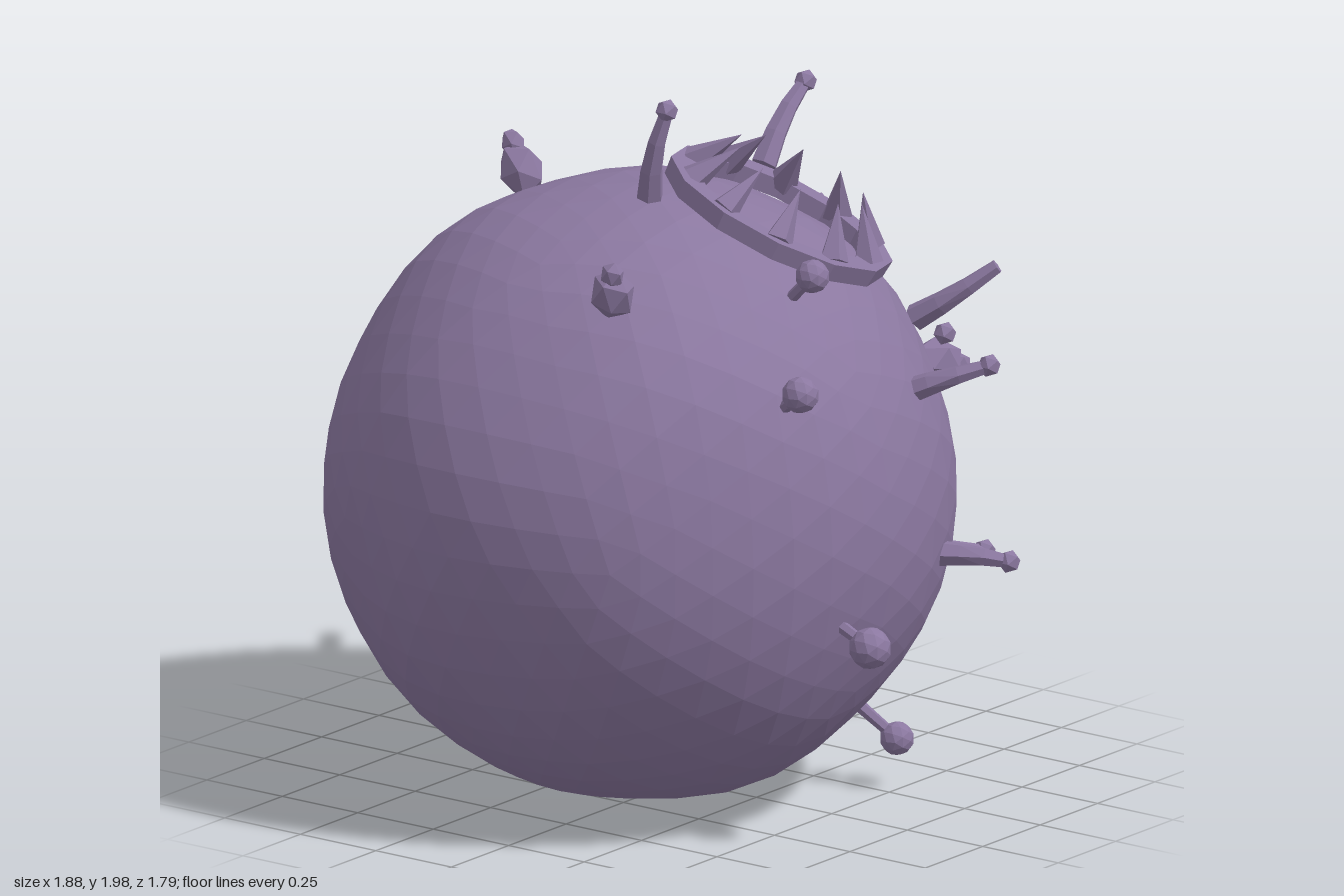
import * as THREE from 'three';

const material = new THREE.MeshStandardMaterial({ color: 0x8b78a0, flatShading: true });
const UP = new THREE.Vector3(0, 1, 0);
const CENTRE = new THREE.Vector3(-0.103, 0.845, -0.055);
const vec = (a) => new THREE.Vector3(...a);

function part(name, geometry, parent) {
  const mesh = new THREE.Mesh(geometry, material);
  mesh.name = name;
  parent.add(mesh);
  return mesh;
}

// Lumpy ball: an icosphere pushed in and out by a soft wave
function bodyGeometry() {
  const g = new THREE.IcosahedronGeometry(1, 7);
  const pos = g.attributes.position;
  const v = new THREE.Vector3();
  for (let i = 0; i < pos.count; i++) {
    v.fromBufferAttribute(pos, i).normalize();
    const lump = Math.sin(5 * v.x + 2 * v.y + 1) * Math.sin(4 * v.y - 3 * v.z) * Math.cos(5 * v.z + v.x);
    v.multiplyScalar(0.837 + 0.014 * lump);
    pos.setXYZ(i, v.x, v.y, v.z);
  }
  g.computeVertexNormals();
  return g;
}

// Tapered stalk: a cylinder bent along a curve through three points
function bentStalk(points, baseRadius, tipRadius) {
  const curve = new THREE.CatmullRomCurve3(points);
  const g = new THREE.CylinderGeometry(tipRadius, baseRadius, 1, 6, 3);
  const pos = g.attributes.position;
  const v = new THREE.Vector3();
  const q = new THREE.Quaternion();
  for (let i = 0; i < pos.count; i++) {
    const t = THREE.MathUtils.clamp(pos.getY(i) + 0.5, 0, 1);
    q.setFromUnitVectors(UP, curve.getTangent(t));
    v.set(pos.getX(i), 0, pos.getZ(i)).applyQuaternion(q).add(curve.getPoint(t));
    pos.setXYZ(i, v.x, v.y, v.z);
  }
  g.computeVertexNormals();
  return g;
}

// Mouth: a flat ring with ten teeth leaning inwards
function mouth() {
  const group = new THREE.Group();
  group.name = 'mouth';
  const profile = [[0.25, 0.8], [0.32, 0.8], [0.325, 0.85], [0.25, 0.85], [0.25, 0.8]]
    .map(([r, y]) => new THREE.Vector2(r, y));
  part('mouthRing', new THREE.LatheGeometry(profile, 12), group);
  const count = 10;
  for (let i = 0; i < count; i++) {
    const a = ((i + 0.5) / count) * Math.PI * 2;
    const out = new THREE.Vector3(Math.sin(a), 0, Math.cos(a));
    const lean = out.clone().multiplyScalar(-0.085).setY(0.13);
    const tooth = part('tooth', new THREE.ConeGeometry(0.042, lean.length(), 5).translate(0, lean.length() / 2, 0), group);
    tooth.position.copy(out).multiplyScalar(0.272).setY(0.84);
    tooth.quaternion.setFromUnitVectors(UP, lean.normalize());
  }
  // Turn towards the front left, then tilt forwards
  group.rotation.set(0.454, 0.628, 0, 'YXZ');
  group.position.copy(CENTRE);
  return group;
}

// Base, middle and tip of each tentacle, then the place of its knob
const TENTACLES = [
  [[-0.3, 1.72, 0.125], [-0.325, 1.84, 0.155], [-0.315, 1.96, 0.19], [-0.315, 1.97, 0.193]],
  [[0.46, 1.59, -0.075], [0.54, 1.7, -0.075], [0.62, 1.77, -0.07], [0.635, 1.78, -0.07]],
  [[0.7, 0.93, -0.245], [0.81, 0.94, -0.27], [0.9, 0.955, -0.33], [0.915, 0.955, -0.34]],
  [[0.58, 0.58, 0.27], [0.69, 0.55, 0.32], [0.82, 0.52, 0.37], [0.835, 0.52, 0.37]],
  [[0.2, 0.72, 0.68], [0.26, 0.715, 0.77], [0.31, 0.7, 0.83], [0.325, 0.695, 0.84]],
  [[0.14, 1.16, 0.62], [0.19, 1.21, 0.73], [0.255, 1.24, 0.81], [0.265, 1.245, 0.82]],
  [[0.19, 1.36, 0.63], [0.23, 1.43, 0.73], [0.3, 1.51, 0.82], [0.19, 1.335, 0.73]],
];

// Ball centre, stalk base, ball radius
const FEELERS = [
  [[-0.15, 1.54, 0.55], [-0.145, 1.44, 0.45], 0.046],
  [[-0.4, 1.3, 0.7], [-0.355, 1.22, 0.59], 0.05],
  [[-0.28, 0.6, 0.84], [-0.26, 0.635, 0.73], 0.057],
  [[0.29, 0.155, 0.495], [0.23, 0.26, 0.39], 0.046],
];

// Base and tip of each pointed wart
const WARTS = [
  [[-0.55, 1.48, 0.2], [-0.64, 1.61, 0.25]],
  [[-0.085, 1.57, -0.43], [-0.085, 1.72, -0.51]],
  [[0.55, 1.34, -0.05], [0.67, 1.45, -0.05]],
  [[0.58, 1.1, 0.34], [0.73, 1.07, 0.38]],
];

export function createModel() {
  const model = new THREE.Group();
  model.name = 'spikyBall';

  part('body', bodyGeometry(), model).position.copy(CENTRE);
  model.add(mouth());

  for (const points of TENTACLES) {
    const [base, middle, tip, knob] = points.map(vec);
    part('tentacle', bentStalk([base, middle, tip], 0.037, 0.02), model);
    part('tentacleKnob', new THREE.IcosahedronGeometry(0.032, 0), model).position.copy(knob);
  }

  for (const [ball, base, radius] of FEELERS) {
    const a = vec(base), b = vec(ball);
    part('feelerStalk', bentStalk([a, a.clone().lerp(b, 0.5), b], 0.018, 0.015), model);
    part('feelerBall', new THREE.IcosahedronGeometry(radius, 1), model).position.copy(b);
  }

  // Warts: a stretched crystal with a smaller one at its tip
  for (const [base, tip] of WARTS) {
    const a = vec(base), b = vec(tip);
    const wart = new THREE.Group();
    wart.name = 'wart';
    part('wartBody', new THREE.IcosahedronGeometry(0.062, 0), wart).scale.y = 1.35;
    const point = part('wartTip', new THREE.IcosahedronGeometry(0.033, 0), wart);
    point.position.set(0.01, 0.075, 0);
    point.scale.y = 1.3;
    wart.position.copy(a).lerp(b, 0.42);
    wart.quaternion.setFromUnitVectors(UP, b.sub(a).normalize());
    model.add(wart);
  }
  return model;
}
